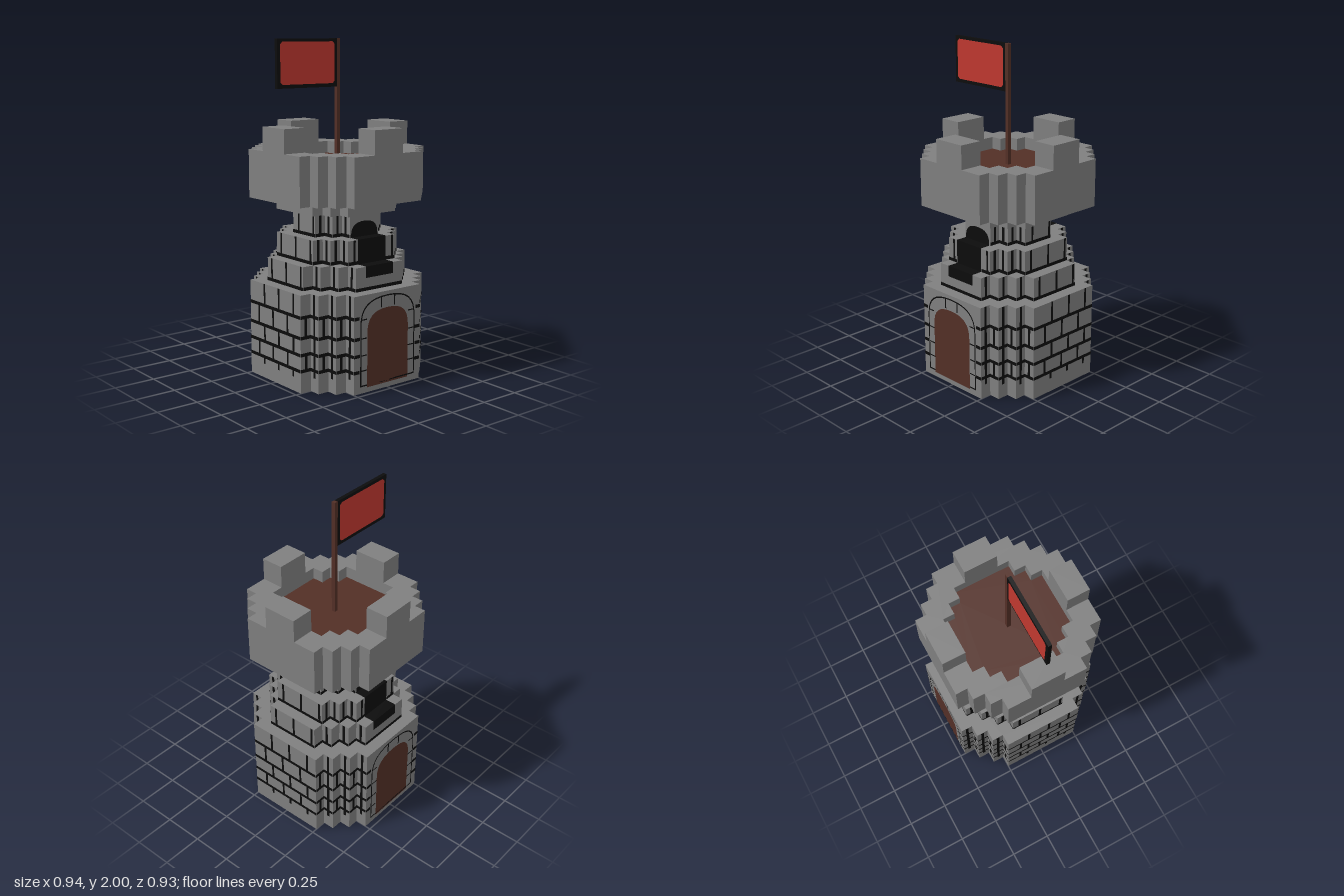
import * as THREE from 'three';
import { mergeGeometries } from 'three/addons/utils/BufferGeometryUtils.js';

const U = 0.0715; // width of one stair step in the blocky outline

const mat = (name, color, side = THREE.FrontSide) => {
  const m = new THREE.MeshStandardMaterial({ color, side });
  m.name = name;
  return m;
};

// Blocky round outline: half width h, k stair steps on each corner
function outline(h, k, Type = THREE.Shape) {
  const quarter = [[h, h - k * U]];
  for (let i = 1; i <= k; i++) {
    quarter.push([h - i * U, h - (k - i + 1) * U], [h - i * U, h - (k - i) * U]);
  }
  const pts = [];
  for (let q = 0; q < 4; q++) {
    for (const [x, y] of quarter) {
      pts.push(new THREE.Vector2(...[[x, y], [-y, x], [-x, -y], [y, -x]][q]));
    }
  }
  return new Type(pts);
}

// Upright slab of an outline from y0 to y1
function slab(shape, y0, y1) {
  return new THREE.ExtrudeGeometry(shape, { depth: y1 - y0, bevelEnabled: false })
    .rotateX(-Math.PI / 2).translate(0, y0, 0);
}

// Painted rectangle on a wall at distance d, facing side 0..3 (front, left, back, right)
function rect(u0, u1, y0, y1, d, side) {
  return new THREE.PlaneGeometry(u1 - u0, y1 - y0)
    .translate((u0 + u1) / 2, (y0 + y1) / 2, d + 0.002)
    .rotateY(side * Math.PI / 2);
}

// Arched opening, straight up to ys and rounded up to yt
function arch(w, y0, ys, yt, Type = THREE.Shape) {
  const s = new Type();
  const c = ys + (yt - ys) * 0.7;
  s.moveTo(-w, y0);
  s.lineTo(w, y0);
  s.lineTo(w, ys);
  s.bezierCurveTo(w, c, w * 0.7, yt, 0, yt);
  s.bezierCurveTo(-w * 0.7, yt, -w, c, -w, ys);
  s.lineTo(-w, y0);
  return s;
}

const painted = (shape, d, side) =>
  new THREE.ShapeGeometry(shape, 8).translate(0, 0, d + 0.003).rotateY(side * Math.PI / 2);

export function createModel() {
  const group = new THREE.Group();
  const stone = mat('stone grey', 0x7f7f7f);
  const wood = mat('wood brown', 0x532f26);
  const black = mat('mortar black', 0x0c0c0c);
  const red = mat('flag red', 0xbf382f);
  const add = (name, geo, material, parent = group) => {
    const mesh = new THREE.Mesh(geo, material);
    mesh.name = name;
    parent.add(mesh);
    return mesh;
  };

  // Tapering tower tiers; rows: [bottom, top, first joint, joints also on door sides]
  const tiers = [
    { name: 'base', h: 0.465, k: 3, y0: 0, y1: 0.575, lines: [0.12, 0.215, 0.315, 0.435],
      rows: [[0.085, 0.12, -0.25, 0], [0.14, 0.215, -0.16, 1], [0.235, 0.315, -0.245, 0],
        [0.335, 0.435, -0.16, 1], [0.455, 0.575, -0.245, 0]] },
    { name: 'lowerTier', h: 0.39, k: 3, y0: 0.575, y1: 0.715, lines: [0.575],
      rows: [[0.59, 0.715, -0.13, 0]] },
    { name: 'middleTier', h: 0.32, k: 2, y0: 0.715, y1: 0.86, lines: [0.717],
      rows: [[0.73, 0.86, -0.13, 1]] },
    { name: 'neck', h: 0.25, k: 2, y0: 0.86, y1: 1.0, lines: [0.86],
      rows: [[0.875, 1.0, -0.05, 1]] },
  ];

  const mortar = [];
  for (const t of tiers) {
    add(t.name, slab(outline(t.h, t.k), t.y0, t.y1), stone);
    const flat = t.h - t.k * U;
    for (let side = 0; side < 4; side++) {
      const doorSide = side % 2 === 1;
      const gap = !doorSide ? 0 : t.name === 'base' ? 0.21 : t.name === 'lowerTier' ? 0 : 0.105;
      // horizontal joints, left out behind the door and window
      for (const y of t.lines) {
        if (doorSide && y === 0.435) {
          for (const s of [-1, 1]) mortar.push(rect(s * 0.232 - 0.018, s * 0.232 + 0.018, y, y + 0.02, t.h, side));
        } else if (gap < flat) {
          if (gap === 0) mortar.push(rect(-flat, flat, y, y + 0.02, t.h, side));
          else for (const s of [-1, 1]) {
            const m = s * (gap + flat) / 2, w = (flat - gap) / 2;
            mortar.push(rect(m - w, m + w, y, y + 0.02, t.h, side));
          }
        }
        for (let i = 1; i <= t.k; i++) for (const s of [-1, 1]) {
          const m = s * (flat + (i - 0.5) * U);
          mortar.push(rect(m - U / 2, m + U / 2, y, y + 0.02, t.h - i * U, side));
        }
      }
      // upright joints
      for (const [a, b, first, all] of t.rows) {
        if (doorSide && !all) continue;
        for (let u = first; u < flat; u += 0.143) {
          if (u - 0.008 > -flat && u + 0.008 < flat && Math.abs(u) > gap) {
            mortar.push(rect(u - 0.008, u + 0.008, a, b, t.h, side));
          }
        }
        for (let i = 1; i <= t.k; i++) for (const s of [-1, 1]) {
          const m = s * (flat + (i - 0.5) * U);
          mortar.push(rect(m - 0.009, m + 0.009, a, b, t.h - i * U, side));
        }
      }
    }
  }
  add('mortarJoints', mergeGeometries(mortar), black);

  // Door and stepped window on both the left and right walls
  for (const side of [1, 3]) {
    const name = side === 1 ? 'left' : 'right';
    add(name + 'Door', painted(arch(0.155, 0.03, 0.35, 0.48), 0.465, side), wood);
    const frame = arch(0.207, 0.04, 0.4, 0.555);
    frame.holes.push(arch(0.199, 0.048, 0.4, 0.547, THREE.Path));
    const joints = [painted(frame, 0.465, side)];
    for (const s of [-1, 1]) {
      for (const y of [0.13, 0.22, 0.32, 0.43]) {
        joints.push(rect(s * 0.178 - 0.022, s * 0.178 + 0.022, y, y + 0.007, 0.465, side));
      }
      joints.push(rect(s * 0.05 - 0.005, s * 0.05 + 0.005, 0.485, 0.548, 0.465, side));
    }
    add(name + 'DoorFrame', mergeGeometries(joints.map((g) => g.index ? g.toNonIndexed() : g)), black);

    const ledge = (y, d) => new THREE.PlaneGeometry(0.208, U).rotateX(-Math.PI / 2)
      .translate(0, y + 0.002, d - U / 2).rotateY(side * Math.PI / 2);
    add(name + 'Window', mergeGeometries([
      rect(-0.104, 0.104, 0.65, 0.717, 0.39, side), ledge(0.715, 0.392),
      rect(-0.104, 0.104, 0.715, 0.862, 0.32, side), ledge(0.86, 0.322),
      painted(arch(0.1, 0.86, 0.87, 0.952), 0.25, side),
    ]), black);
  }

  // Battlement: corbel, ring wall, four merlons and wooden roof deck
  add('corbel', slab(outline(0.32, 2), 1.0, 1.073), stone);
  const ring = outline(0.465, 3);
  ring.holes.push(outline(0.322, 2, THREE.Path));
  add('parapet', slab(ring, 1.073, 1.36), stone);
  add('parapetUnderside', slab(outline(0.4, 3), 1.075, 1.1), stone);
  add('roofDeck', slab(outline(0.322, 2), 1.265, 1.286), wood);
  for (let side = 0; side < 4; side++) {
    add('merlon', new THREE.BoxGeometry(0.21, 0.142, 0.143)
      .translate(0, 1.43, 0.3935).rotateY(side * Math.PI / 2), stone);
  }

  // Flag on its pole, flying towards the front
  add('flagPole', new THREE.BoxGeometry(0.024, 0.715, 0.024).translate(0, 1.6425, 0), wood);
  const flag = new THREE.Group();
  flag.name = 'flag';
  group.add(flag);
  add('flagBorder', new THREE.BoxGeometry(0.022, 0.28, 0.43).translate(0, 1.86, 0.225), black, flag);
  const a = 0.195, b = 0.121, c = 0.015;
  const panel = new THREE.Shape([[-a + c, -b], [a - c, -b], [a, -b + c], [a, b - c], [a - c, b],
    [-a + c, b], [-a, b - c], [-a, -b + c]].map((p) => new THREE.Vector2(...p)));
  for (const s of [-1, 1]) {
    add('flagPanel', new THREE.ShapeGeometry(panel).rotateY(s * Math.PI / 2)
      .translate(s * 0.013, 1.862, 0.225), red, flag);
  }
  return group;
}
